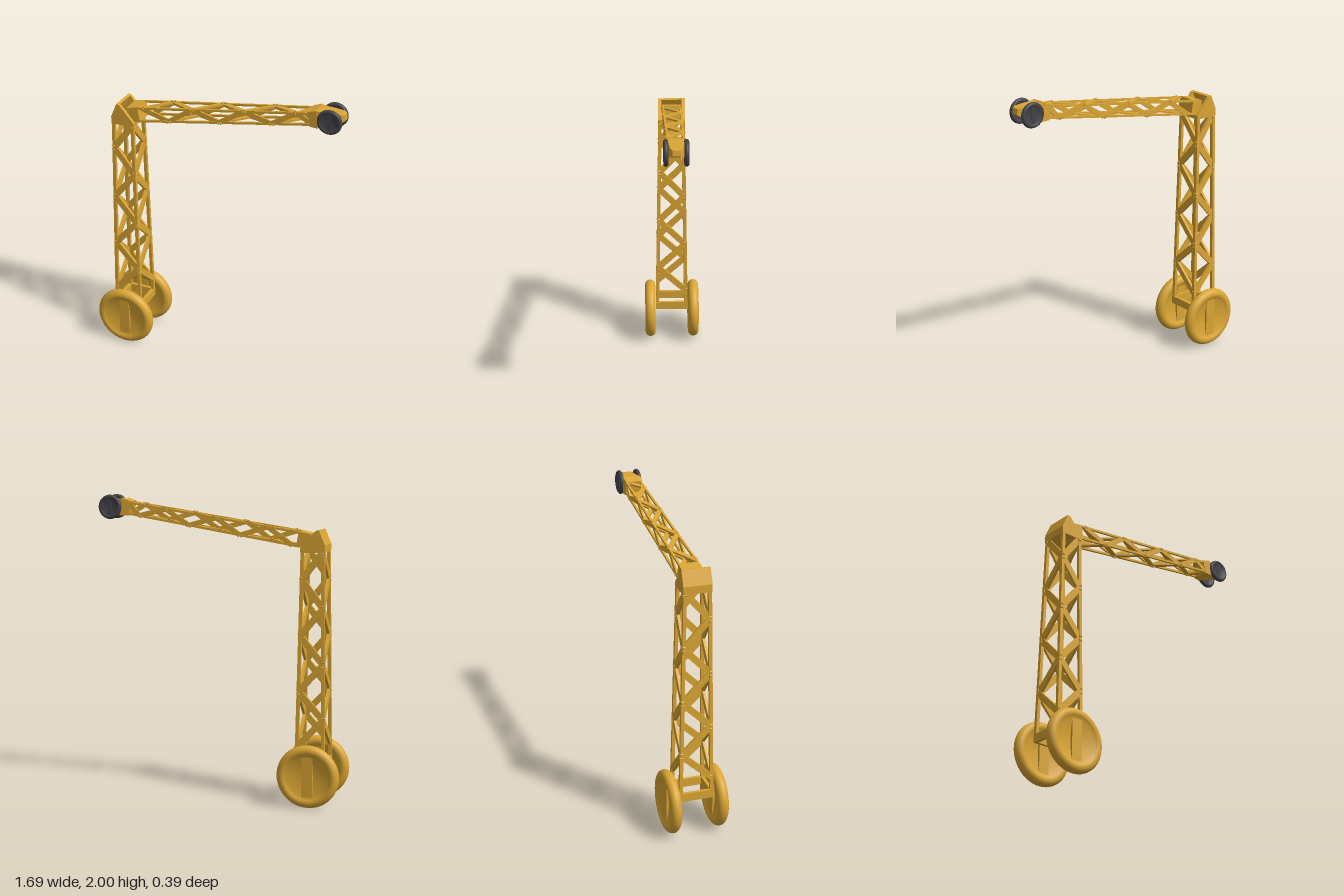
import * as THREE from 'three';

const yellow = new THREE.MeshStandardMaterial({ color: 0xdaa534 });
const dark = new THREE.MeshStandardMaterial({ color: 0x454349 });
const V = (x, y, z) => new THREE.Vector3(x, y, z);

function add(parent, name, geometry, material = yellow) {
  const mesh = new THREE.Mesh(geometry, material);
  mesh.name = name;
  parent.add(mesh);
  return mesh;
}

// Flat bar from a to b, its thin side along the given normal
function bar(parent, name, a, b, width, thick, normal) {
  const dir = b.clone().sub(a);
  const mesh = add(parent, name, new THREE.BoxGeometry(width, dir.length(), thick));
  const y = dir.normalize();
  const x = y.clone().cross(normal).normalize();
  const z = x.clone().cross(y);
  mesh.quaternion.setFromRotationMatrix(new THREE.Matrix4().makeBasis(x, y, z));
  mesh.position.copy(a).add(b).multiplyScalar(0.5);
  // place the middle of the bar halfway between its ends
}

// Box between two heights with different half sizes at each end
function taperedBox(y0, y1, w0, d0, w1, d1) {
  const g = new THREE.BoxGeometry(2, 1, 2);
  const p = g.attributes.position;
  for (let i = 0; i < p.count; i++) {
    const top = p.getY(i) > 0;
    p.setXYZ(i, p.getX(i) * (top ? w1 : w0), top ? y1 : y0, p.getZ(i) * (top ? d1 : d0));
  }
  g.computeVertexNormals();
  return g;
}

// Four-legged lattice along +y; opposite faces zigzag in opposite phase
function truss(parent, { y0, y1, w0, d0, w1, d1, post, nodes, strip }) {
  const corner = (sx, sz, y, inset = post / 2) => {
    const t = (y - y0) / (y1 - y0);
    return V(sx * (w0 + (w1 - w0) * t - inset), y, sz * (d0 + (d1 - d0) * t - inset));
  };
  for (const sx of [-1, 1]) for (const sz of [-1, 1])
    bar(parent, 'cornerPost', corner(sx, sz, y0), corner(sx, sz, y1), post, post, V(0, 0, 1));

  for (const s of [-1, 1]) {
    for (let i = 0; i < nodes.length - 1; i++) {
      const e = i % 2 ? s : -s;
      // faces toward z, then faces toward x
      bar(parent, 'diagonalBrace', corner(e, s, nodes[i]), corner(-e, s, nodes[i + 1]),
        strip, post * 0.8, V(0, 0, 1));
      bar(parent, 'diagonalBrace', corner(s, e, nodes[i]), corner(s, -e, nodes[i + 1]),
        strip, post * 0.8, V(1, 0, 0));
    }
  }
}

// Round-rimmed wheel, dished on both sides, with one upright spoke
function wheel(parent, name, x, y, z, scale, material) {
  const group = new THREE.Group();
  group.name = name;
  group.position.set(x, y, z);
  group.scale.setScalar(scale);
  const pts = [];
  for (let i = 0; i <= 8; i++) {
    const r = 0.146 * i / 8;
    pts.push(new THREE.Vector2(r, -0.007 - 0.021 * (i / 8) ** 2));
  }
  for (let i = 1; i < 24; i++) {
    const a = -2.28 + 4.56 * i / 24;
    pts.push(new THREE.Vector2(0.17 + 0.037 * Math.cos(a), 0.037 * Math.sin(a)));
  }
  for (let i = 8; i >= 0; i--) pts.push(new THREE.Vector2(pts[i].x, -pts[i].y));
  add(group, 'rimAndDish', new THREE.LatheGeometry(pts, 48).rotateX(Math.PI / 2), material);
  add(group, 'spoke', new THREE.BoxGeometry(0.074, 0.29, 0.05), material);
  parent.add(group);
}

export function createModel() {
  const model = new THREE.Group();
  model.name = 'craneArm';

  // Tower
  const tower = new THREE.Group();
  tower.name = 'tower';
  tower.position.x = -0.64;
  model.add(tower);
  const steps = (start, gap, n) => Array.from({ length: n }, (_, i) => start + gap * i);
  truss(tower, {
    y0: 0.245, y1: 1.66, w0: 0.1, d0: 0.115, w1: 0.078, d1: 0.09,
    post: 0.022, nodes: steps(0.39, 0.181, 8), strip: 0.042,
  });
  for (const s of [-1, 1]) {
    add(tower, 'baseRail', new THREE.BoxGeometry(0.2, 0.055, 0.022)).position.set(0, 0.273, s * 0.104);
    add(tower, 'baseRail', new THREE.BoxGeometry(0.022, 0.055, 0.23)).position.set(s * 0.089, 0.273, 0);
  }

  // Peaked tower head: two cheeks, a sloping back and a floor
  const extrude = (points, depth, z) => new THREE.ExtrudeGeometry(
    new THREE.Shape(points.map(([x, y]) => new THREE.Vector2(x, y))),
    { depth, bevelEnabled: false }).translate(0, 0, z);
  const cheek = [[-0.08, 1.65], [0.08, 1.65], [0.08, 1.675], [-0.02, 1.79], [-0.04, 1.795], [-0.08, 1.7]];
  for (const z of [-0.092, 0.07]) add(tower, 'headCheek', extrude(cheek, 0.022, z));
  add(tower, 'headBack', extrude(
    [[-0.08, 1.65], [-0.06, 1.65], [-0.06, 1.695], [-0.02, 1.79], [-0.04, 1.795], [-0.08, 1.7]], 0.16, -0.08));
  add(tower, 'headFloor', new THREE.BoxGeometry(0.16, 0.028, 0.16)).position.set(0, 1.664, 0);

  // Boom, built upright and tilted over
  const boom = new THREE.Group();
  boom.name = 'boom';
  boom.position.set(-0.534, 1.733, 0);
  boom.rotation.z = 0.154 - Math.PI / 2;
  model.add(boom);
  truss(boom, {
    y0: -0.01, y1: 1.18, w0: 0.051, d0: 0.066, w1: 0.043, d1: 0.054,
    post: 0.014, nodes: [...steps(0.03, 0.177, 7), 1.18], strip: 0.032,
  });
  add(boom, 'boomRoot', taperedBox(-0.08, 0, 0.048, 0.066, 0.051, 0.066));
  add(boom, 'boomCollar', taperedBox(1.165, 1.22, 0.048, 0.056, 0.058, 0.06));
  add(boom, 'boomNose', taperedBox(1.22, 1.37, 0.055, 0.058, 0.027, 0.036));
  add(boom, 'noseTip', taperedBox(1.37, 1.388, 0.027, 0.036, 0.018, 0.024));

  // Wheels at the foot and at the boom tip
  for (const s of [-1, 1]) {
    wheel(model, 'footWheel', -0.64, 0.207, s * 0.156, 1, yellow);
    wheel(model, 'tipWheel', 0.753, 1.92, s * 0.061, 0.39, dark);
  }
  return model;
}
